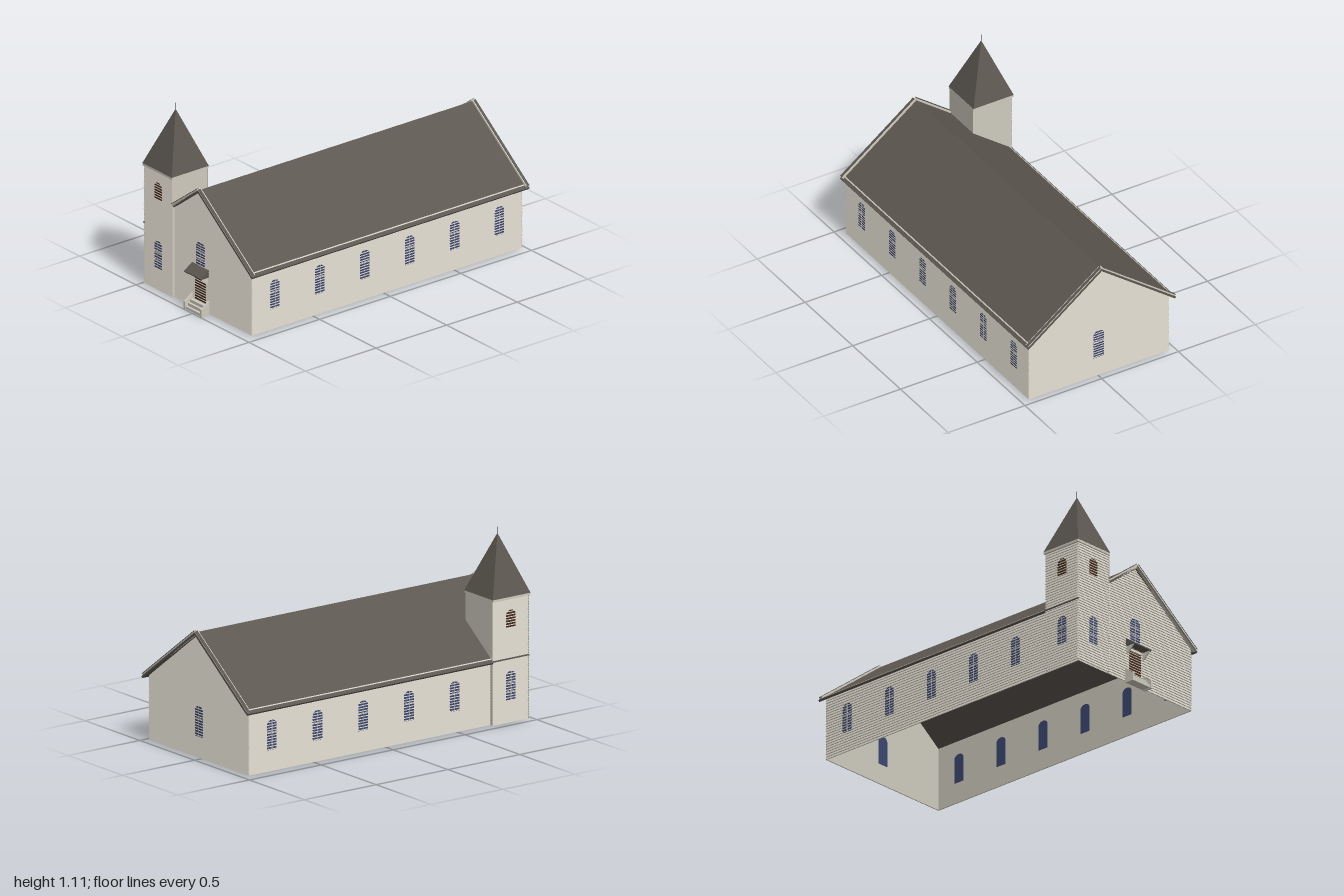
import * as THREE from 'three';

const mat = (name, color) => {
  const m = new THREE.MeshStandardMaterial({ color, side: THREE.DoubleSide, flatShading: true });
  m.name = name;
  return m;
};

export function createModel() {
  const siding = mat('cream siding', 0xcfcbbf);
  const slate = mat('dark roof', 0x5c5750);
  const glass = mat('blue glass', 0x3c4670);
  const wood = mat('brown wood', 0x44291a);
  const iron = mat('black iron', 0x1c1c1c);

  const church = new THREE.Group();
  church.name = 'church';

  const add = (parent, name, geo, material) => {
    const m = new THREE.Mesh(geo, material);
    m.name = name;
    parent.add(m);
    return m;
  };
  // box given by its min and max on each axis
  const box = (parent, name, material, x0, x1, y0, y1, z0, z1) => {
    const m = add(parent, name, new THREE.BoxGeometry(x1 - x0, y1 - y0, z1 - z0), material);
    m.position.set((x0 + x1) / 2, (y0 + y1) / 2, (z0 + z1) / 2);
    return m;
  };
  const polygon = (pts) => new THREE.Shape(pts.map(([x, y]) => new THREE.Vector2(x, y)));

  const ROW = 0.0155, LAP = 0.006, BASE = 0.01;

  // overlapping boards: each row leans out at its lower edge
  function clapboards(parent, y0, y1, extent) {
    const pos = [];
    const quad = (a, b, c, d) => pos.push(...a, ...b, ...c, ...a, ...c, ...d);
    for (let y = y0; y < y1 - 1e-4; y += ROW) {
      const top = Math.min(y + ROW, y1);
      const [l, r] = extent(y), [tl, tr] = extent(top);
      quad([l, y, LAP], [r, y, LAP], [tr, top, 0], [tl, top, 0]);
      quad([l, y, 0], [r, y, 0], [r, y, LAP], [l, y, LAP]);
    }
    const geo = new THREE.BufferGeometry();
    geo.setAttribute('position', new THREE.Float32BufferAttribute(pos, 3));
    geo.computeVertexNormals();
    add(parent, 'clapboards', geo, siding);
  }

  // wall frame: local x along the wall, z outwards
  function wall(name, angle, x, z, outline) {
    const g = new THREE.Group();
    g.name = name;
    g.position.set(x, 0, z);
    g.rotation.y = angle;
    church.add(g);
    add(g, 'innerWall', new THREE.ShapeGeometry(polygon(outline)), siding).position.z = -0.0005;
    return g;
  }

  // arched pane set into the boards, whose lower edges cross it
  function archedWindow(parent, x, y0, y1, half, material, muntins = true) {
    const rise = half * 0.75, s = new THREE.Shape();
    s.moveTo(-half, y0);
    s.lineTo(half, y0);
    s.lineTo(half, y1 - rise);
    s.absellipse(0, y1 - rise, half, rise, 0, Math.PI, false);
    const geo = new THREE.ExtrudeGeometry(s, { depth: 0.0065, bevelEnabled: false, curveSegments: 10 });
    add(parent, 'windowPane', geo, material).position.set(x, 0, -0.0023);
    if (!muntins) return;
    box(parent, 'muntin', siding, x - 0.0015, x + 0.0015, y0, y1, 0.003, 0.0055);
    for (const t of [0.3, 0.6]) {
      const y = y0 + (y1 - y0) * t;
      box(parent, 'muntin', siding, x - half, x + half, y - 0.0015, y + 0.0015, 0.003, 0.0055);
    }
  }

  // nave walls
  const W = 0.452, FRONT = 0.94, BACK = -0.966, EAVE = 0.385, PITCH = 0.745, PEAK = 0.722;
  const halfAt = (y) => Math.max(0, Math.min(W + 0.004, (PEAK - y) / PITCH));
  const gable = [[-W, BASE], [W, BASE], [W, EAVE], [0, PEAK], [-W, EAVE]];

  const front = wall('frontWall', 0, 0, FRONT, gable);
  clapboards(front, BASE, PEAK, (y) => [Math.max(-0.228, -halfAt(y)), halfAt(y)]);
  archedWindow(front, 0, 0.272, 0.415, 0.038, glass);
  box(front, 'door', wood, -0.047, 0.047, 0.06, 0.207, -0.0023, 0.0042);

  const back = wall('backWall', Math.PI, 0, BACK, gable);
  clapboards(back, BASE, PEAK, (y) => [-halfAt(y), halfAt(y)]);
  archedWindow(back, 0, 0.13, 0.305, 0.035, glass);

  for (const s of [1, -1]) {
    // local x runs along -z on the right-hand wall and +z on the other
    const a = s > 0 ? -FRONT : BACK, b = s > 0 ? -BACK : FRONT;
    const side = wall(s > 0 ? 'leftWall' : 'rightWall', s * Math.PI / 2, s * W, 0,
      [[a, BASE], [b, BASE], [b, EAVE], [a, EAVE]]);
    clapboards(side, BASE, EAVE, () => [a - 0.004, b + 0.004]);
    for (let i = 0; i < 6; i++) archedWindow(side, -s * (0.78 - i * 0.318), 0.132, 0.303, 0.033, glass);
  }

  // roof boards laid along the slope between two x distances
  const RIDGE = 0.735, tilt = Math.atan(PITCH);
  function slope(name, material, s, x0, x1, z0, z1, thick, lift) {
    const m = add(church, name, new THREE.BoxGeometry((x1 - x0) / Math.cos(tilt), thick, z1 - z0), material);
    const xm = (x0 + x1) / 2, d = lift - thick / 2;
    m.position.set(s * (xm + d * Math.sin(tilt)), RIDGE - PITCH * xm + d * Math.cos(tilt), (z0 + z1) / 2);
    m.rotation.z = -s * tilt;
  }
  const T = { x0: -0.48, x1: -0.227, z0: 0.71, z1: 0.962, top: 0.722 };
  slope('roof', slate, 1, 0, 0.485, -1, 0.963, 0.012, 0);
  slope('roof', slate, -1, 0, 0.485, -1, T.z0, 0.012, 0);
  slope('roof', slate, -1, 0, -T.x1, T.z0, 0.963, 0.012, 0);
  for (const s of [1, -1]) {
    const end = s > 0 ? 0.476 : -T.x1;
    slope('frontRake', siding, s, 0, end, 0.942, 0.963, 0.022, 0.01);
    slope('frontRakeCap', slate, s, 0, end, 0.949, 0.965, 0.003, 0.012);
    slope('backRake', siding, s, 0, 0.476, -0.998, -0.978, 0.022, 0.01);
    slope('backRakeCap', slate, s, 0, 0.476, -1, -0.984, 0.003, 0.012);
    slope('eaveStrip', siding, s, 0.461, 0.467, -0.978, s > 0 ? 0.942 : T.z0, 0.004, 0.003);
  }

  // tower
  const roofY = (x) => RIDGE - PITCH * Math.abs(x);
  const tf = wall('towerFront', 0, 0, T.z1 - LAP,
    [[T.x0, BASE], [T.x1, BASE], [T.x1, T.top], [T.x0, T.top]]);
  clapboards(tf, BASE, T.top, () => [T.x0, T.x1]);
  archedWindow(tf, -0.355, 0.14, 0.303, 0.032, glass);
  archedWindow(tf, -0.355, 0.558, 0.656, 0.032, wood, false);

  const ts = wall('towerSide', -Math.PI / 2, T.x0 + LAP, 0,
    [[T.z0, BASE], [T.z1 - LAP, BASE], [T.z1 - LAP, T.top], [T.z0, T.top]]);
  clapboards(ts, BASE, T.top, () => [T.z0, T.z1]);
  archedWindow(ts, 0.836, 0.14, 0.303, 0.032, glass);
  archedWindow(ts, 0.836, 0.558, 0.656, 0.032, wood, false);
  box(church, 'towerBand', slate, -0.484, -0.474, 0.374, 0.38, T.z0, T.z1);

  // plain tower faces that rise out of the roof
  wall('towerBack', Math.PI, 0, T.z0, [[-T.x1, roofY(T.x1) - 0.015], [-T.x0 - LAP, roofY(T.x0) - 0.015],
    [-T.x0 - LAP, T.top], [-T.x1, T.top]]);
  wall('towerInnerSide', Math.PI / 2, T.x1, 0, [[-T.z1, roofY(T.x1) - 0.015],
    [-T.z0, roofY(T.x1) - 0.015], [-T.z0, T.top], [-T.z1, T.top]]);
  box(church, 'towerReturn', siding, T.x1 - 0.003, T.x1, BASE, T.top, FRONT, T.z1 - 0.003);
  box(church, 'towerReturn', siding, T.x0 + 0.003, -W, BASE, EAVE, T.z0, T.z0 + 0.003);

  // cornice
  const C = { x: -0.356, z: 0.835, h: 0.131 };
  for (const s of [1, -1]) {
    const cx = C.x + s * (C.h - 0.007), cz = C.z + s * (C.h - 0.007);
    box(church, 'cornice', siding, cx - 0.006, cx + 0.006, 0.72, 0.734, C.z - C.h + 0.001, C.z + C.h - 0.001);
    box(church, 'cornice', siding, C.x - C.h + 0.001, C.x + C.h - 0.001, 0.72, 0.734, cz - 0.006, cz + 0.006);
  }

  // spire and finial
  const spire = new THREE.ConeGeometry(C.h * Math.SQRT2, 0.337, 4, 1, true).rotateY(Math.PI / 4);
  add(church, 'spire', spire, slate).position.set(C.x, 0.734 + 0.337 / 2, C.z);
  add(church, 'finial', new THREE.CylinderGeometry(0.0015, 0.0015, 0.05, 6), iron).position.set(C.x, 1.083, C.z);

  // shapes drawn as (z, y) and extruded across x
  function profile(name, material, pts, x0, x1) {
    const geo = new THREE.ExtrudeGeometry(polygon(pts.map(([z, y]) => [-z, y])), { depth: x1 - x0, bevelEnabled: false });
    geo.rotateY(Math.PI / 2);
    add(church, name, geo, material).position.x = x0;
  }

  // door canopy on brackets
  profile('canopy', slate, [[0.94, 0.275], [1, 0.234], [1, 0.228], [0.94, 0.228]], -0.074, 0.074);
  for (const s of [1, -1]) {
    const x = s * 0.064;
    profile('bracket', siding, [[0.94, 0.228], [0.995, 0.228], [0.99, 0.221], [0.953, 0.185], [0.94, 0.185]],
      x - 0.003, x + 0.003);
  }

  // steps between sloping side rails
  for (let i = 0; i < 3; i++) {
    box(church, 'step', siding, -0.068, 0.068, 0.004, 0.02 + i * 0.018, 0.94, 0.995 - i * 0.015);
  }
  for (const s of [1, -1]) {
    const x = s * 0.073;
    profile('stepRail', siding, [[0.94, 0], [1, 0], [1, 0.05], [0.985, 0.056], [0.945, 0.085], [0.94, 0.085]],
      x - 0.006, x + 0.006);
  }
  return church;
}
